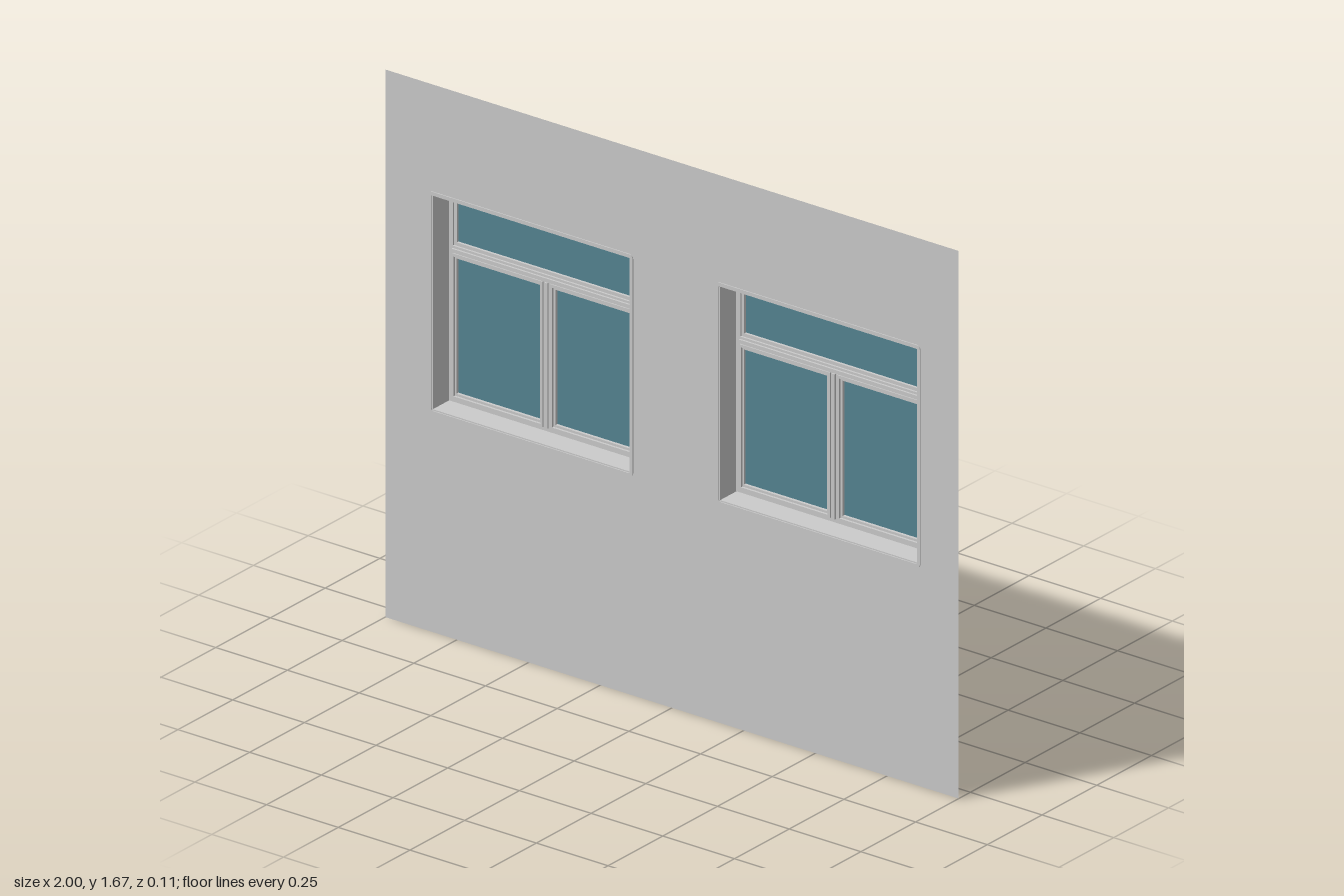
import * as THREE from 'three';

const grey = new THREE.MeshStandardMaterial({ color: 0xcccccc, side: THREE.DoubleSide });
const glass = new THREE.MeshStandardMaterial({ color: 0x548492, side: THREE.DoubleSide });

// Rounded rectangle outline, used for outlines and holes alike
function rect(Type, x0, x1, y0, y1, r = 0) {
  const s = new Type();
  if (!r) {
    s.moveTo(x0, y0).lineTo(x1, y0).lineTo(x1, y1).lineTo(x0, y1).closePath();
    return s;
  }
  s.absarc(x1 - r, y0 + r, r, -Math.PI / 2, 0);
  s.absarc(x1 - r, y1 - r, r, 0, Math.PI / 2);
  s.absarc(x0 + r, y1 - r, r, Math.PI / 2, Math.PI);
  s.absarc(x0 + r, y0 + r, r, Math.PI, Math.PI * 1.5);
  s.closePath();
  return s;
}

function add(group, name, geometry, material = grey) {
  const mesh = new THREE.Mesh(geometry, material);
  mesh.name = name;
  group.add(mesh);
  return mesh;
}

// Picture-frame ring: outer and inner are [x0, x1, y0, y1]; z runs back to front
function ring(group, name, outer, inner, z0, z1, r = 0) {
  const shape = rect(THREE.Shape, ...outer, r);
  shape.holes.push(rect(THREE.Path, ...inner, r * 0.5));
  const geo = new THREE.ExtrudeGeometry(shape, { depth: z1 - z0, bevelEnabled: false, curveSegments: 5 });
  return add(group, name, geo.translate(0, 0, z0));
}

function bar(group, name, [x0, x1, y0, y1], z0, z1) {
  const geo = new THREE.BoxGeometry(x1 - x0, y1 - y0, z1 - z0);
  return add(group, name, geo.translate((x0 + x1) / 2, (y0 + y1) / 2, (z0 + z1) / 2));
}

function pane(group, name, [x0, x1, y0, y1], z) {
  const geo = new THREE.PlaneGeometry(x1 - x0, y1 - y0);
  return add(group, name, geo.translate((x0 + x1) / 2, (y0 + y1) / 2, z), glass);
}

function createWindow() {
  const g = new THREE.Group();
  g.name = 'window';

  // Deep lining through the wall, with a rounded lip at the front
  ring(g, 'reveal', [-0.35, 0.35, 0.672, 1.336], [-0.343, 0.343, 0.679, 1.329], -0.037, 0.053);
  ring(g, 'lipBack', [-0.354, 0.354, 0.666, 1.34], [-0.345, 0.345, 0.677, 1.331], 0.045, 0.051, 0.012);
  ring(g, 'lipFront', [-0.356, 0.356, 0.664, 1.342], [-0.347, 0.347, 0.675, 1.333], 0.051, 0.056, 0.014);

  // Fixed frame with transom and centre post
  ring(g, 'frame', [-0.343, 0.343, 0.68, 1.33], [-0.328, 0.328, 0.691, 1.315], -0.046, -0.02);
  bar(g, 'transom', [-0.328, 0.328, 1.134, 1.156], -0.043, -0.018);
  bar(g, 'transomLedge', [-0.328, 0.328, 1.141, 1.149], -0.046, -0.012);
  bar(g, 'post', [-0.012, 0.012, 0.691, 1.134], -0.043, -0.02);
  bar(g, 'postCover', [-0.005, 0.005, 0.691, 1.134], -0.053, -0.014);

  // Fixed top light
  const light = [-0.318, 0.318, 1.166, 1.302];
  ring(g, 'topBead', [-0.328, 0.328, 1.156, 1.315], light, -0.04, -0.024);
  pane(g, 'topGlass', light, -0.032);

  // Pair of casements, each with a stepped sash
  for (const side of [-1, 1]) {
    const span = (a, b, y0, y1) => (side > 0 ? [a, b, y0, y1] : [-b, -a, y0, y1]);
    const opening = span(0.027, 0.318, 0.706, 1.118);
    const step = span(0.02, 0.323, 0.699, 1.125);
    ring(g, 'sash', span(0.012, 0.328, 0.691, 1.134), step, -0.041, -0.015);
    ring(g, 'sashBead', step, opening, -0.038, -0.022);
    pane(g, 'casementGlass', opening, -0.031);
  }
  return g;
}

export function createModel() {
  const model = new THREE.Group();
  model.name = 'wallWithWindows';
  const centres = [-0.491, 0.511];

  // Thin wall sheet with two openings
  const wall = rect(THREE.Shape, -1, 1, 0, 1.668);
  for (const x of centres) {
    wall.holes.push(rect(THREE.Path, x - 0.348, x + 0.348, 0.674, 1.334));
    const win = createWindow();
    win.position.x = x;
    model.add(win);
  }
  add(model, 'wall', new THREE.ShapeGeometry(wall).translate(0, 0, 0.053));
  return model;
}
